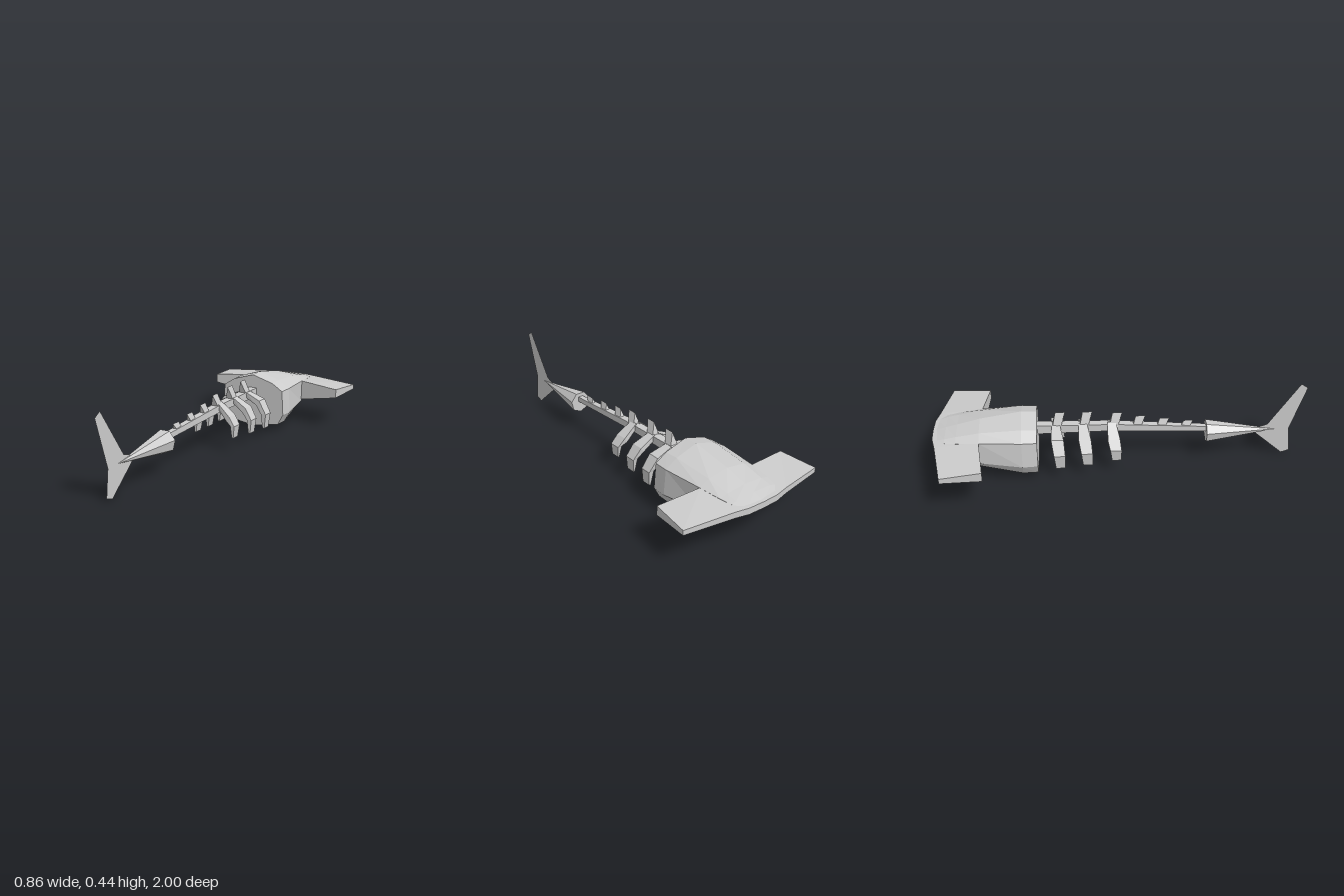
import * as THREE from 'three';

const material = new THREE.MeshStandardMaterial({ color: 0xcccccc, flatShading: true });

// Capped loft through rings of [x, y, z]; the winding is made outward by its signed volume.
function loft(rings) {
  const n = rings[0].length;
  const tris = [];
  for (let i = 0; i < rings.length - 1; i++) {
    const a = rings[i], b = rings[i + 1];
    for (let j = 0; j < n; j++) {
      const k = (j + 1) % n;
      tris.push([a[j], a[k], b[k]], [a[j], b[k], b[j]]);
    }
  }
  const cap = (ring, flip) => {
    const c = [0, 1, 2].map(d => ring.reduce((s, p) => s + p[d], 0) / n);
    ring.forEach((p, j) => {
      const q = ring[(j + 1) % n];
      tris.push(flip ? [c, q, p] : [c, p, q]);
    });
  };
  cap(rings[0], true);
  cap(rings[rings.length - 1], false);

  const v = p => new THREE.Vector3(...p);
  const o = v(rings[0][0]);
  const volume = tris.reduce((s, [a, b, c]) =>
    s + v(a).sub(o).dot(v(b).sub(o).cross(v(c).sub(o))), 0);
  if (volume < 0) tris.forEach(t => t.reverse());

  const geometry = new THREE.BufferGeometry();
  geometry.setAttribute('position', new THREE.Float32BufferAttribute(tris.flat(2), 3));
  geometry.computeVertexNormals();
  return geometry;
}

function add(parent, name, geometry, mat = material) {
  const mesh = new THREE.Mesh(geometry, mat);
  mesh.name = name;
  parent.add(mesh);
  return mesh;
}

export function createModel() {
  const model = new THREE.Group();
  model.name = 'skeletalFish';

  // Head: z, crown height, four side points, chin height
  const sections = [
    [-0.45, 0.325, [[0.125, 0.288], [0.188, 0.248], [0.197, 0.11], [0.165, 0.05]], 0.022],
    [-0.53, 0.33, [[0.125, 0.292], [0.192, 0.25], [0.202, 0.11], [0.167, 0.05]], 0.02],
    [-0.75, 0.295, [[0.115, 0.277], [0.172, 0.25], [0.17, 0.125], [0.13, 0.08]], 0.052],
    [-0.87, 0.265, [[0.11, 0.256], [0.155, 0.243], [0.13, 0.155], [0.095, 0.115]], 0.095],
    [-0.93, 0.25, [[0.11, 0.245], [0.14, 0.238], [0.1, 0.18], [0.065, 0.145]], 0.13],
    [-0.99, 0.234, [[0.1, 0.232], [0.11, 0.23], [0.07, 0.203], [0.04, 0.201]], 0.2],
  ];
  add(model, 'head', loft(sections.map(([z, top, side, chin]) => [
    [0, top, z],
    ...side.map(([x, y]) => [x, y, z]),
    [0, chin, z],
    ...side.slice().reverse().map(([x, y]) => [-x, y, z]),
  ])));

  // Hammer: wide wing crossing the snout, given as half stations
  // [front x, front z, front low, front high, back x, back z, back low, back high]
  const half = [
    [0.43, -0.93, 0.195, 0.222, 0.405, -0.72, 0.18, 0.23],
    [0.17, -0.978, 0.2, 0.233, 0.165, -0.75, 0.135, 0.25],
    [0.09, -0.997, 0.2, 0.235, 0.09, -0.75, 0.135, 0.25],
  ];
  const station = ([fx, fz, fl, fh, bx, bz, bl, bh], s) =>
    [[s * fx, fl, fz], [s * fx, fh, fz], [s * bx, bh, bz], [s * bx, bl, bz]];
  const middle = [0, -1, 0.2, 0.235, 0, -0.75, 0.135, 0.25];
  add(model, 'hammer', loft([
    ...half.map(h => station(h, 1)),
    station(middle, 1),
    ...half.slice().reverse().map(h => station(h, -1)),
  ]));

  // Backbone: tapering square bar from head to tail
  const spine = [[-0.46, 0.025, 0.2, 0.25], [-0.05, 0.022, 0.2, 0.24], [0.48, 0.015, 0.17, 0.198]];
  add(model, 'backbone', loft(spine.map(([z, w, low, high]) =>
    [[-w, low, z], [w, low, z], [w, high, z], [-w, high, z]])));

  // Dorsal spines: leaning wedges, [z, base y, top y, half width]
  const spines = new THREE.Group();
  spines.name = 'dorsalSpines';
  model.add(spines);
  [
    [-0.34, 0.235, 0.315, 0.026], [-0.195, 0.23, 0.312, 0.025], [-0.035, 0.225, 0.3, 0.024],
    [0.09, 0.215, 0.275, 0.018], [0.22, 0.205, 0.255, 0.016], [0.35, 0.195, 0.235, 0.014],
  ].forEach(([z, base, top, w]) => add(spines, 'dorsalSpine', loft([
    [[-w, base, z - 0.03], [w, base, z - 0.03], [0, top, z - 0.012]],
    [[-w, base, z + 0.015], [w, base, z + 0.015], [0, top, z + 0.04]],
  ])));

  // Ribs: three mirrored pairs, [z, width scale, drop of the arch, tip height]
  const ribs = new THREE.Group();
  ribs.name = 'ribs';
  model.add(ribs);
  [[-0.34, 1, 0, 0.06], [-0.195, 0.92, 0.01, 0.065], [-0.04, 0.8, 0.025, 0.075]]
    .forEach(([z, k, drop, tip]) => {
      // outer x, y, inner x, y, half depth, z shift
      const arch = [
        [0.015, 0.25, 0.015, 0.22, 0.022, -0.012],
        [0.115, 0.213 - drop, 0.095, 0.187 - drop, 0.033, -0.005],
        [0.16, 0.14, 0.13, 0.14, 0.03, 0.004],
        [0.152, tip, 0.141, tip, 0.025, 0.008],
      ];
      for (const s of [1, -1]) {
        add(ribs, s > 0 ? 'leftRib' : 'rightRib', loft(arch.map(([ox, oy, ix, iy, d, dz]) => [
          [s * k * ox, oy, z + dz - d], [s * k * ox, oy, z + dz + d],
          [s * k * ix, iy, z + dz + d], [s * k * ix, iy, z + dz - d],
        ])));
      }
    });

  // Tail stock: seven-sided cone pointing backwards
  const cone = (z, r, y) => Array.from({ length: 7 }, (_, i) => {
    const a = i * Math.PI * 2 / 7;
    return [r * Math.sin(a), y - r * Math.cos(a), z];
  });
  add(model, 'tailStock', loft([cone(0.46, 0.062, 0.164), cone(0.84, 0.001, 0.157)]));

  // Tail fin: thin upright forked sheet
  const outline = [[1, 0.41], [0.963, 0.435], [0.8, 0.19], [0.71, 0.16],
    [0.893, 0], [0.936, 0.015], [0.92, 0.155]].map(p => new THREE.Vector2(...p));
  const finMaterial = material.clone();
  finMaterial.side = THREE.DoubleSide;
  add(model, 'tailFin',
    new THREE.ShapeGeometry(new THREE.Shape(outline)).rotateY(-Math.PI / 2), finMaterial);

  return model;
}
